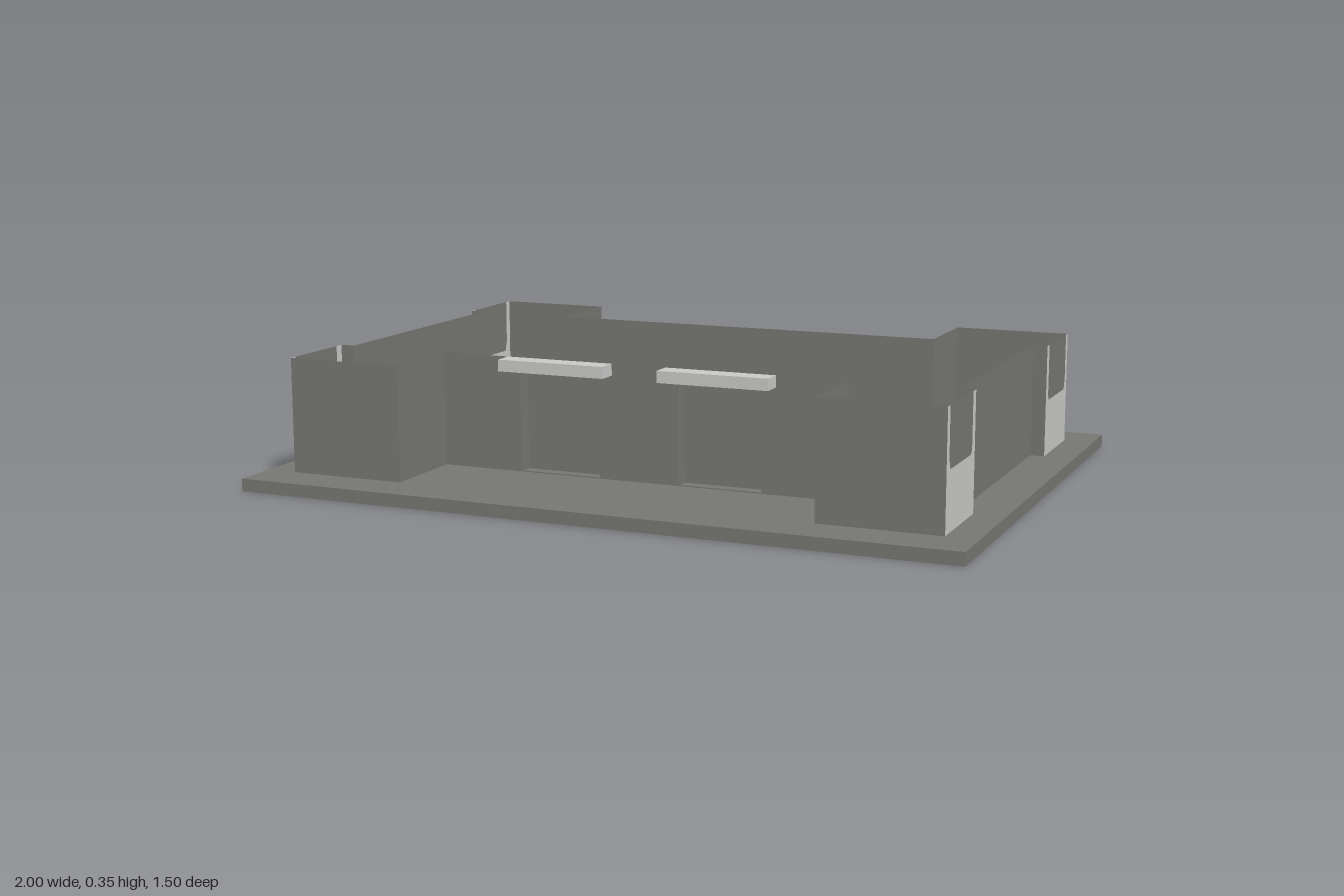
import * as THREE from 'three';

const makeMaterial = (name, color) => {
  const material = new THREE.MeshStandardMaterial({ color, side: THREE.DoubleSide });
  material.name = name;
  return material;
};
const stone = makeMaterial('dark stone', 0x767671);
const pale = makeMaterial('pale grey', 0xc9c9c8);
const underside = makeMaterial('charcoal', 0x424242);

const FLOOR = 0.035, TOP = 0.35;

const polygon = (points) =>
  new THREE.ShapeGeometry(new THREE.Shape(points.map(([x, y]) => new THREE.Vector2(x, y))));

export function createModel() {
  const model = new THREE.Group();
  model.name = 'walledCourt';

  const add = (name, geometry, material, x, y, z) => {
    const mesh = new THREE.Mesh(geometry, material);
    mesh.name = name;
    mesh.position.set(x, y, z);
    model.add(mesh);
    return mesh;
  };

  // Upright thin panel between two plan points
  const panel = (name, [x0, z0], [x1, z1], y1 = TOP) => {
    const length = Math.hypot(x1 - x0, z1 - z0);
    const mesh = add(name, new THREE.PlaneGeometry(length, y1 - FLOOR), stone,
      (x0 + x1) / 2, (FLOOR + y1) / 2, (z0 + z1) / 2);
    mesh.rotation.y = -Math.atan2(z1 - z0, x1 - x0);
  };

  // Base slab with a darker underside
  add('base', new THREE.BoxGeometry(2, FLOOR, 1.5),
    [stone, stone, stone, underside, stone, stone], 0, FLOOR / 2, 0);

  // Dark patch at the top of each outer bay wall, and the pale wall around it (z, y)
  const patchEdge = [[0.4, TOP], [0.4, 0.205], [0.41, 0.192], [0.592, 0.192], [0.603, 0.22], [0.603, TOP]];
  const surround = [[0.375, FLOOR], [0.375, TOP], ...patchEdge, [0.625, TOP], [0.625, FLOOR]];

  // Corner bays
  for (const sx of [-1, 1]) {
    for (const sz of [-1, 1]) {
      const p = (x, z) => [sx * x, sz * z];
      panel('bayInnerWall', p(0.585, 0.375), p(0.585, 0.625));
      panel('bayEndWall', p(0.585, 0.625), p(0.915, 0.625));
      panel('bayReturn', p(0.915, 0.375), p(0.875, 0.375));
      for (const [name, outline, material] of [
        ['bayOuterWall', surround, pale], ['bayPatch', patchEdge, stone]]) {
        // Mirror the outline so that after turning it lies along z and faces outwards
        const points = outline.map(([z, y]) => [-sx * sz * z, y]);
        const mesh = add(name, polygon(points), material, sx * 0.915, 0, 0);
        mesh.rotation.y = sx * Math.PI / 2;
      }
    }
    panel('sideWall', [sx * 0.875, -0.375], [sx * 0.875, 0.375]);
  }
  panel('backWall', [-0.585, -0.375], [0.585, -0.375]);

  // Front wall with two doorway openings
  const wall = new THREE.Shape();
  wall.moveTo(-0.585, FLOOR);
  wall.lineTo(0.585, FLOOR);
  wall.lineTo(0.585, TOP);
  wall.lineTo(-0.585, TOP);
  for (const cx of [-0.2325, 0.2325]) {
    const x0 = cx - 0.1175, x1 = cx + 0.1175;
    const hole = new THREE.Path();
    hole.moveTo(x0, 0.038);
    hole.lineTo(x0, 0.32);
    hole.lineTo(x1, 0.32);
    hole.lineTo(x1, 0.038);
    wall.holes.push(hole);

    // Recessed doorway behind the opening
    panel('door', [x0, 0.33], [x1, 0.33], 0.32);
    for (const x of [x0, x1]) panel('doorJamb', [x, 0.33], [x, 0.375], 0.32);
    const head = add('doorHead', new THREE.PlaneGeometry(0.235, 0.045), stone, cx, 0.32, 0.3525);
    head.rotation.x = -Math.PI / 2;

    // Canopy over the doorway
    add('canopy', new THREE.BoxGeometry(0.31, 0.032, 0.057), pale, cx, 0.334, 0.4035);
  }
  add('frontWall', new THREE.ShapeGeometry(wall), stone, 0, 0, 0.375);

  return model;
}
